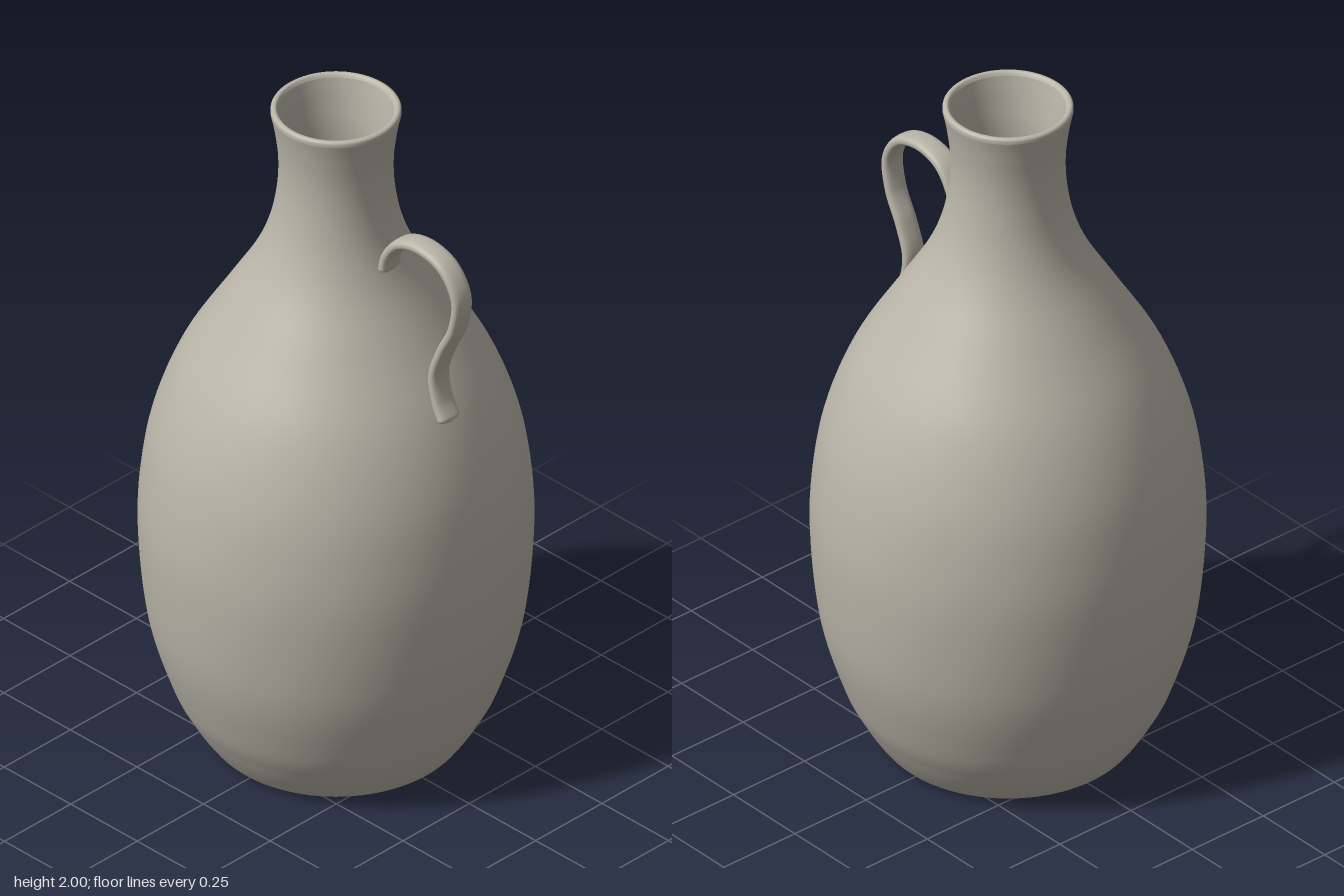
import * as THREE from 'three';
import { ParametricGeometry } from 'three/addons/geometries/ParametricGeometry.js';

const v2 = (pairs) => pairs.map(([x, y]) => new THREE.Vector2(x, y));
const smooth = (pairs, n) => new THREE.SplineCurve(v2(pairs)).getPoints(n);

export function createModel() {
  const group = new THREE.Group();
  group.name = 'jug';
  const clay = new THREE.MeshStandardMaterial({ color: 0xbab4a8 });
  clay.name = 'grey clay';

  const add = (name, geometry) => {
    const mesh = new THREE.Mesh(geometry, clay);
    mesh.name = name;
    group.add(mesh);
  };
  const lathe = (name, points) => add(name, new THREE.LatheGeometry(points, 96));

  // Outer wall, from the foot to just under the lip
  const wall = [
    [0.31, 0], [0.335, 0.01], [0.36, 0.04], [0.4, 0.105], [0.445, 0.2], [0.503, 0.4],
    [0.528, 0.66], [0.519, 0.85], [0.487, 1.02], [0.418, 1.2], [0.31, 1.38],
    [0.225, 1.52], [0.18, 1.63], [0.158, 1.74], [0.154, 1.84], [0.164, 1.93], [0.175, 1.985],
  ];
  lathe('body', smooth(wall, 90));

  // Rounded lip
  lathe('lip', smooth([[0.175, 1.985], [0.174, 1.995], [0.168, 2], [0.16, 1.999], [0.154, 1.99]], 16));

  // Inside of the neck and belly
  lathe('innerWall', smooth([
    [0.154, 1.99], [0.143, 1.93], [0.133, 1.84], [0.137, 1.74], [0.158, 1.63], [0.204, 1.52],
    [0.288, 1.38], [0.396, 1.2], [0.465, 1.02], [0.497, 0.85], [0.506, 0.66], [0.481, 0.4],
    [0.424, 0.2], [0.375, 0.1], [0.34, 0.05],
  ], 70));
  lathe('innerFloor', v2([[0.34, 0.05], [0, 0.05]]));

  // Foot ring and recessed underside
  lathe('footRing', smooth([[0.288, 0.025], [0.291, 0.008], [0.3, 0.001], [0.31, 0]], 12));
  lathe('underside', v2([[0, 0.025], [0.288, 0.025]]));

  // Handle: a flattened strap swept along an S-curve, with rounded ends
  const path = new THREE.CatmullRomCurve3([
    [0.197, 1.572], [0.21, 1.63], [0.257, 1.688], [0.335, 1.709], [0.42, 1.684], [0.469, 1.61],
    [0.458, 1.51], [0.415, 1.42], [0.386, 1.33], [0.4, 1.25], [0.43, 1.192],
  ].map(([x, y]) => new THREE.Vector3(x, y, 0)));
  const squircle = (c) => Math.sign(c) * Math.pow(Math.abs(c), 0.75);
  add('handle', new ParametricGeometry((u, v, target) => {
    const p = path.getPointAt(u);
    const t = path.getTangentAt(u);
    const a = v * Math.PI * 2;
    const end = Math.min(1, Math.min(u, 1 - u) / 0.02);
    const round = Math.max(0.02, Math.sqrt(1 - (1 - end) ** 2));
    const width = 0.033 + 0.004 * Math.abs(2 * u - 1) ** 3;
    const off = 0.0155 * round * squircle(Math.cos(a));
    target.set(p.x + t.y * off, p.y - t.x * off, width * round * squircle(Math.sin(a)));
  }, 150, 28));

  return group;
}
